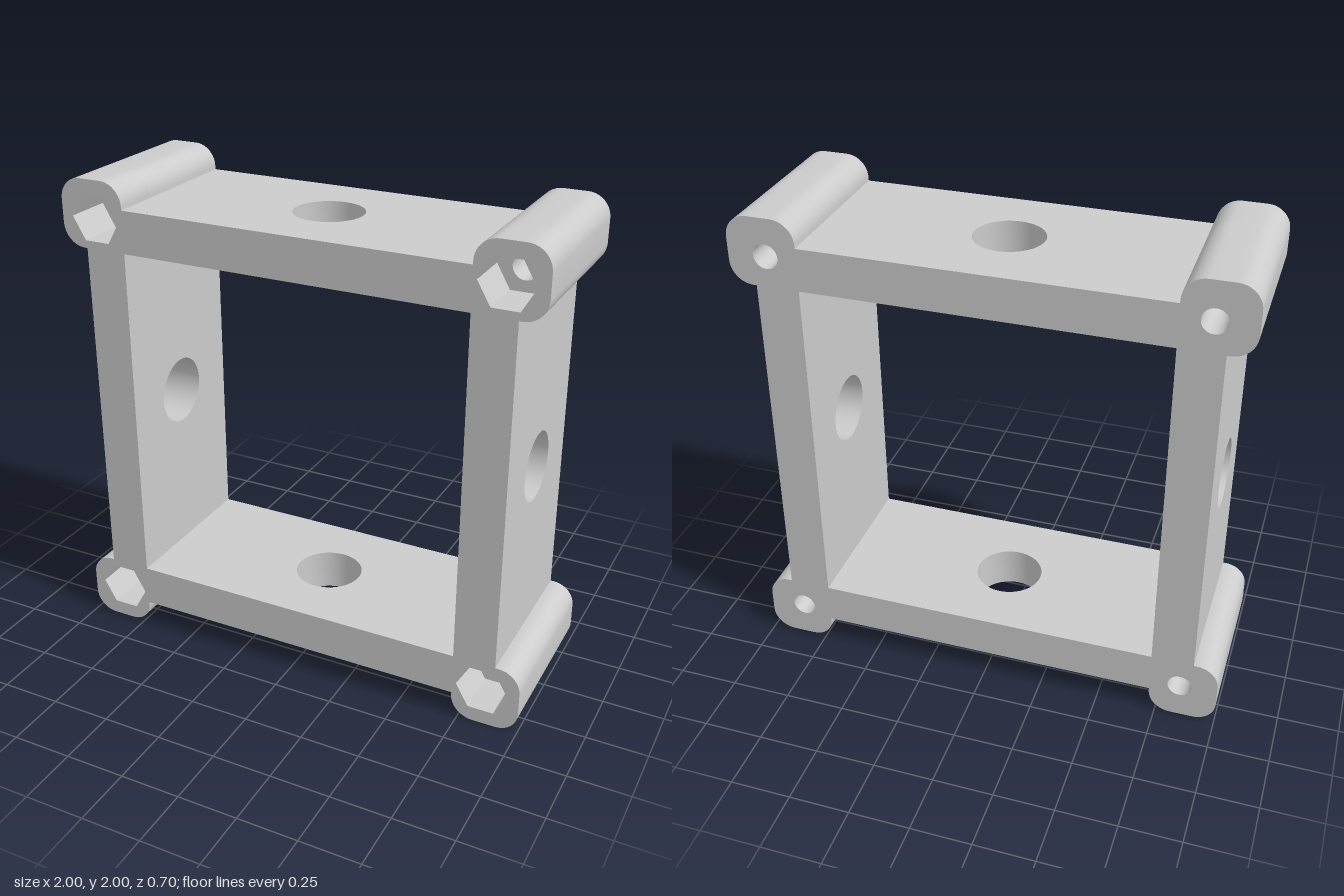
import * as THREE from 'three';
import { toCreasedNormals } from 'three/addons/utils/BufferGeometryUtils.js';

const DEPTH = 0.7;      // frame depth along z
const INNER = 0.72;     // half size of the square opening
const OUTER = 0.895;    // half size over the plain walls
const RADIUS = 0.092;   // rounding of the corner posts
const BOLT = 0.845;     // bolt axis offset from the centre
const POCKET = 0.2;     // depth of the hexagonal nut pocket

const material = new THREE.MeshStandardMaterial({ color: 0xcccccc });

function arc(cx, cy, r, from, to, steps) {
  return Array.from({ length: steps + 1 }, (_, i) => {
    const a = from + ((to - from) * i) / steps;
    return new THREE.Vector2(cx + r * Math.cos(a), cy + r * Math.sin(a));
  });
}

function ring(cx, cy, r, sides) {
  return arc(cx, cy, r, 0, Math.PI * 2, sides).slice(0, sides);
}

function extrude(outline, hole, depth) {
  const shape = new THREE.Shape(outline);
  shape.holes.push(new THREE.Path(hole));
  const geometry = new THREE.ExtrudeGeometry(shape, { depth, bevelEnabled: false });
  return toCreasedNormals(geometry, 0.6);
}

function addMesh(parent, name, geometry) {
  const mesh = new THREE.Mesh(geometry, material);
  mesh.name = name;
  parent.add(mesh);
  return mesh;
}

// Square post outline with a sharp inner corner and three rounded ones
function postOutline(sx, sy) {
  const lo = INNER + RADIUS, hi = 1 - RADIUS, q = Math.PI / 2;
  return [
    new THREE.Vector2(INNER, INNER),
    ...arc(hi, lo, RADIUS, -q, 0, 10),
    ...arc(hi, hi, RADIUS, 0, q, 10),
    ...arc(lo, hi, RADIUS, q, 2 * q, 10),
  ].map((p) => new THREE.Vector2(p.x * sx, p.y * sy));
}

export function createModel() {
  const model = new THREE.Group();
  model.name = 'squareFrame';
  const frame = new THREE.Group();
  frame.name = 'frame';
  frame.position.y = 1;
  model.add(frame);

  // Four walls, each with a large round hole through its middle
  const h = DEPTH / 2;
  const wallOutline = [[-INNER, -h], [INNER, -h], [INNER, h], [-INNER, h]]
    .map(([x, y]) => new THREE.Vector2(x, y));
  const wallGeometry = extrude(wallOutline, ring(0, 0, 0.142, 48), OUTER - INNER);
  wallGeometry.rotateX(-Math.PI / 2).translate(0, INNER, 0);
  ['topWall', 'leftWall', 'bottomWall', 'rightWall'].forEach((name, i) => {
    addMesh(frame, name, wallGeometry).rotation.z = (-i * Math.PI) / 2;
  });

  // Four corner posts: bolt bore at the back, nut pocket at the front
  for (const sx of [-1, 1]) {
    for (const sy of [-1, 1]) {
      const post = new THREE.Group();
      post.name = (sy > 0 ? 'top' : 'bottom') + (sx > 0 ? 'Left' : 'Right') + 'Post';
      const outline = postOutline(sx, sy);
      const x = BOLT * sx, y = BOLT * sy;
      const bore = extrude(outline, ring(x, y, 0.05, 32), DEPTH - POCKET);
      addMesh(post, 'boltBore', bore).position.z = -h;
      const pocket = extrude(outline, ring(x, y, 0.108, 6), POCKET);
      addMesh(post, 'nutPocket', pocket).position.z = h - POCKET;
      frame.add(post);
    }
  }
  return model;
}
